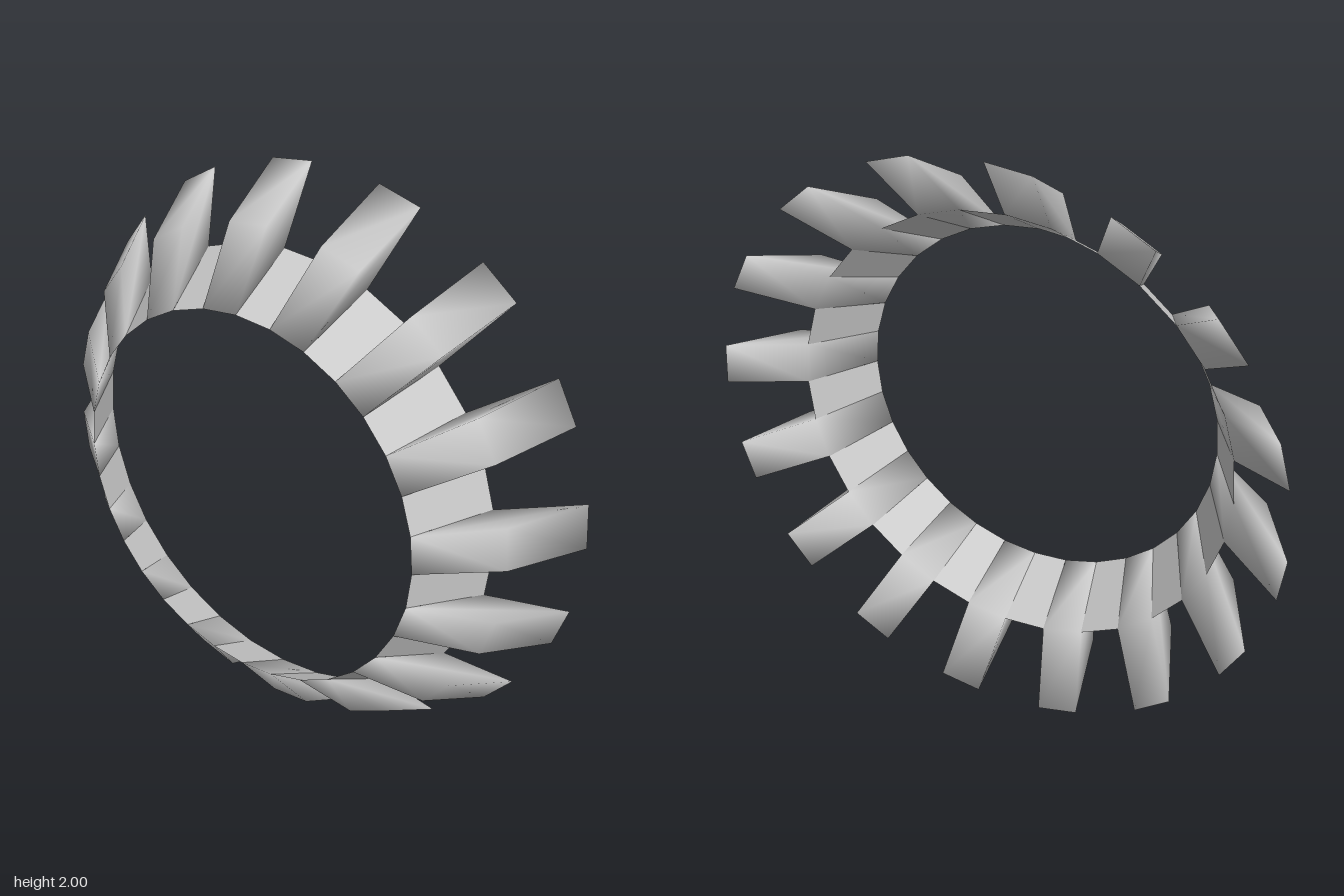
import * as THREE from 'three';

const TEETH = 16;
const STEP = (Math.PI * 2) / TEETH;

// Each row is [half width, radial distance, z]; vertices go left side first, then right side
function rowsToGeometry(rows, quads) {
  const n = rows.length;
  const positions = [];
  for (const side of [-1, 1]) {
    for (const [w, r, z] of rows) positions.push(side * w, r, z);
  }
  const index = quads(n).flatMap(([a, b, c, d]) => [a, b, c, a, c, d]);
  const geometry = new THREE.BufferGeometry();
  geometry.setAttribute('position', new THREE.Float32BufferAttribute(positions, 3));
  geometry.setIndex(index);
  geometry.computeVertexNormals();
  return geometry;
}

const band = (i, j, n) => [i, i + n, j + n, j];

export function createModel() {
  const model = new THREE.Group();
  model.name = 'toothedRing';
  const solid = new THREE.MeshStandardMaterial({ color: 0xcccccc });
  const sheet = new THREE.MeshStandardMaterial({ color: 0xcccccc, side: THREE.DoubleSide });

  const front = [0.063, 0.64, 0.2];
  const back = [0.0765, 0.776, -0.035];

  // Tooth: closed wedge with a bent outer face and a knife-edge tip
  const toothGeometry = rowsToGeometry(
    [front, [0.071, 0.86, 0.035], [0.075, 0.997, -0.2], back],
    (n) => [
      band(0, 1, n), band(1, 2, n), band(2, 3, n), band(3, 0, n),
      [0, 1, 2, 3], [4, 7, 6, 5],
    ]
  );

  // Web: thin conical panel closing the ring between two teeth
  const webGeometry = rowsToGeometry([front, back], (n) => [band(0, 1, n)]);

  const addAround = (name, geometry, material, offset) => {
    for (let i = 0; i < TEETH; i++) {
      const mesh = new THREE.Mesh(geometry, material);
      mesh.name = name;
      mesh.position.y = 1;
      mesh.rotation.z = i * STEP + offset;
      model.add(mesh);
    }
  };
  addAround('tooth', toothGeometry, solid, STEP / 4);
  addAround('ringWeb', webGeometry, sheet, -STEP / 4);

  return model;
}
